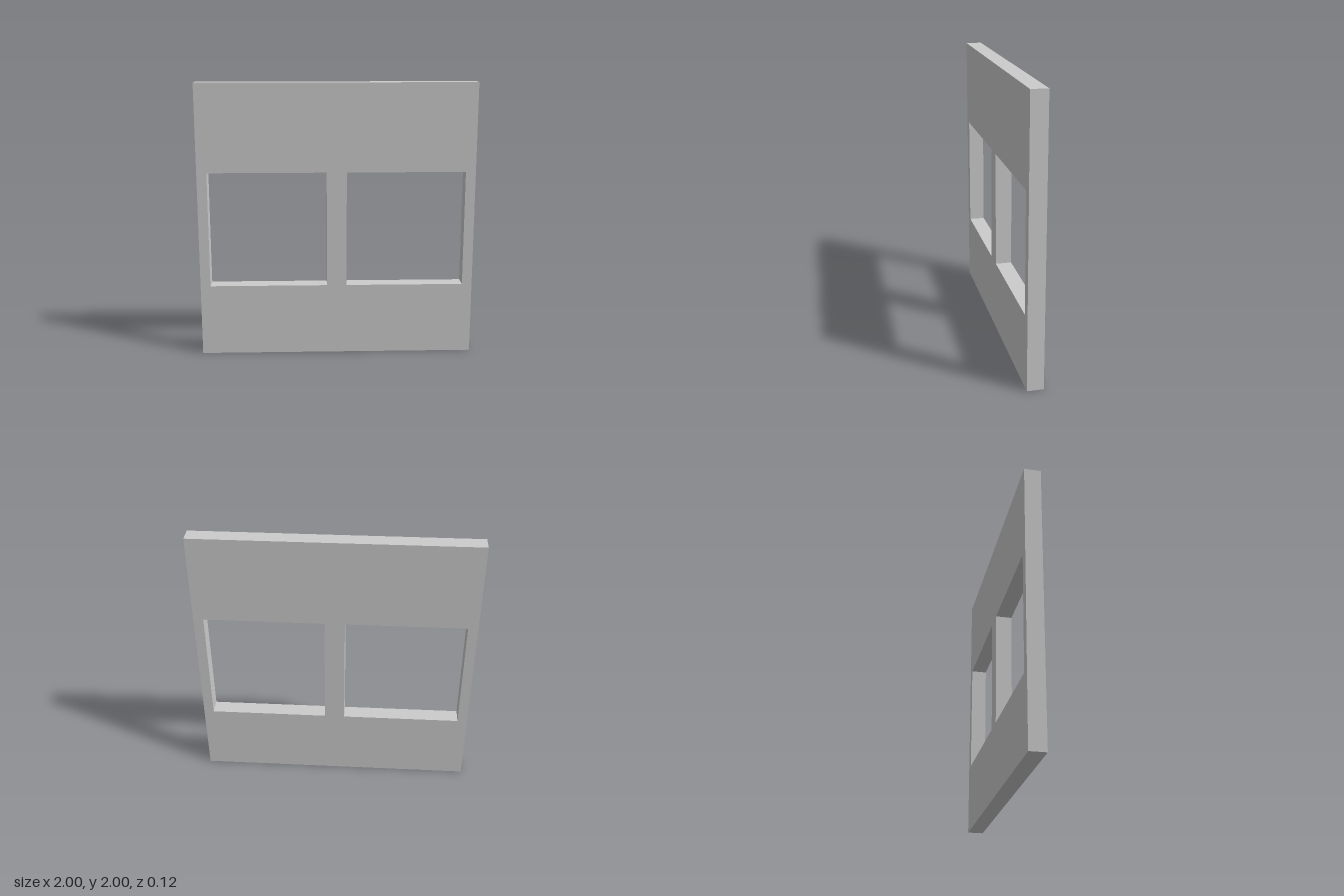
import * as THREE from 'three';

const DEPTH = 0.116;

// Adds the corners of a rectangle to a shape or hole path
function rect(path, x0, y0, x1, y1) {
  path.moveTo(x0, y0);
  path.lineTo(x1, y0);
  path.lineTo(x1, y1);
  path.lineTo(x0, y1);
  path.closePath();
  return path;
}

export function createModel() {
  const group = new THREE.Group();
  group.name = 'windowWall';

  // Square wall panel with two mirrored window openings
  const outline = rect(new THREE.Shape(), -1, 0, 1, 2);
  for (const side of [-1, 1]) {
    const cx = side * 0.5;
    outline.holes.push(rect(new THREE.Path(), cx - 0.428, 0.522, cx + 0.428, 1.363));
  }

  const geometry = new THREE.ExtrudeGeometry(outline, { depth: DEPTH, bevelEnabled: false });
  geometry.translate(0, 0, -DEPTH / 2);

  const wall = new THREE.Mesh(
    geometry,
    new THREE.MeshStandardMaterial({ color: 0xcccccc, flatShading: true })
  );
  wall.name = 'wallPanel';
  group.add(wall);
  return group;
}
